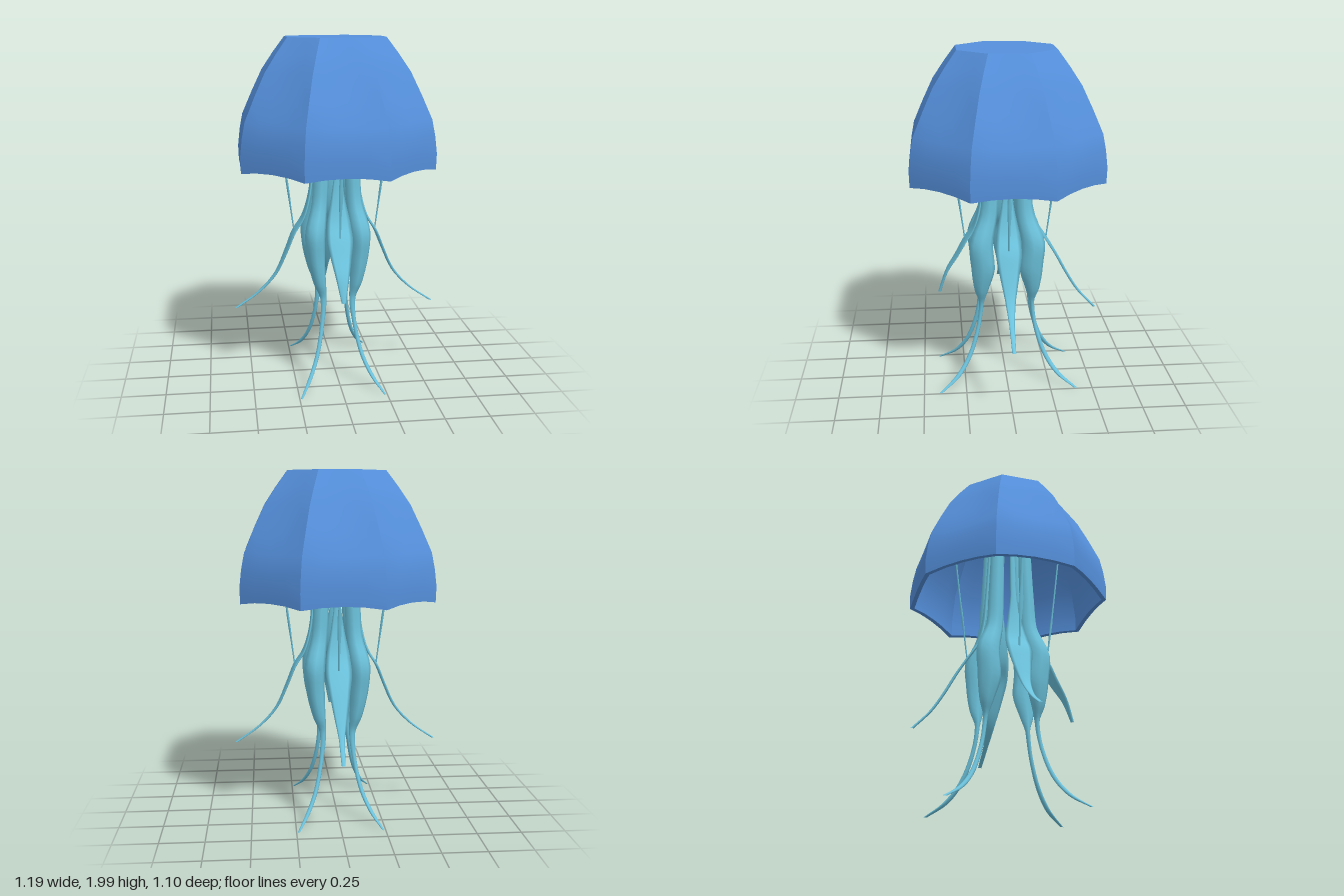
import * as THREE from 'three';
import { mergeVertices } from 'three/addons/utils/BufferGeometryUtils.js';

// Smooth grid surface from a rule point(u, v), with u, v in 0..1
function surface(cols, rows, point) {
  const pos = [], index = [];
  for (let j = 0; j <= rows; j++)
    for (let i = 0; i <= cols; i++) pos.push(...point(i / cols, j / rows));
  for (let j = 0; j < rows; j++)
    for (let i = 0; i < cols; i++) {
      const a = j * (cols + 1) + i, b = a + cols + 1;
      index.push(a, a + 1, b, a + 1, b + 1, b);
    }
  let g = new THREE.BufferGeometry();
  g.setAttribute('position', new THREE.Float32BufferAttribute(pos, 3));
  g.setIndex(index);
  g = mergeVertices(g, 1e-5);
  g.computeVertexNormals();
  return g;
}

// Tentacle lofted through stations [x, y, z, radiusX, radiusZ], top to tip
function loft(stations, sides = 8, steps = 28) {
  const path = new THREE.CatmullRomCurve3(stations.map(s => new THREE.Vector3(s[0], s[1], s[2])));
  const size = new THREE.CatmullRomCurve3(stations.map(s => new THREE.Vector3(s[3], s[4], 0)));
  return surface(sides, steps, (u, v) => {
    const c = path.getPoint(v), r = size.getPoint(v), a = (u % 1) * Math.PI * 2;
    return [c.x + Math.max(r.x, 0.001) * Math.cos(a), c.y, c.z + Math.max(r.y, 0.001) * Math.sin(a)];
  });
}

export function createModel() {
  const model = new THREE.Group();
  const bellBlue = new THREE.MeshStandardMaterial({ color: 0x5590dc });
  const armTeal = new THREE.MeshStandardMaterial({ color: 0x6cc3dd });
  const add = (name, geometry, material, parent = model) => {
    const m = new THREE.Mesh(geometry, material);
    m.name = name;
    parent.add(m);
    return m;
  };

  // Bell: eight panels, each with outer skin, rim and inner skin
  const bell = new THREE.Group();
  bell.name = 'bell';
  model.add(bell);
  const T = Math.tan(Math.PI / 8);
  // rows of [apothem, y, sag at panel middle, rise at panel middle]
  const outer = [[0.275, 2, 0, 0], [0.34, 1.91, 0.006, 0], [0.405, 1.81, 0.012, 0], [0.465, 1.68, 0.014, 0],
    [0.52, 1.55, 0.002, 0], [0.537, 1.46, 0, 0], [0.548, 1.36, 0, 0.02], [0.545, 1.27, 0, 0.02]];
  const rim = [outer[7], [0.52, 1.272, 0, 0.02]];
  const inner = [rim[1], [0.522, 1.36, 0, 0.02], [0.495, 1.55, 0, 0], [0.38, 1.8, 0, 0], [0.255, 1.975, 0, 0]];
  const panel = (rows, angle) => surface(4, rows.length - 1, (u, v) => {
    const [a, y, sag, rise] = rows[Math.round(v * (rows.length - 1))];
    const s = u * 2 - 1, mid = 1 - s * s;
    const d = a - sag * mid, w = s * a * T;
    return [d * Math.cos(angle) - w * Math.sin(angle), y + rise * mid, d * Math.sin(angle) + w * Math.cos(angle)];
  });
  for (let k = 0; k < 8; k++) {
    const angle = k * Math.PI / 4;
    add('bellPanel', panel(outer, angle), bellBlue, bell);
    add('bellRim', panel(rim, angle), bellBlue, bell);
    add('bellLining', panel(inner, angle), bellBlue, bell);
  }
  const cosP = Math.cos(Math.PI / 8);
  add('bellTop', new THREE.CircleGeometry(0.275 / cosP, 8, Math.PI / 8).rotateX(-Math.PI / 2), bellBlue, bell)
    .position.y = 2;
  add('bellCeiling', new THREE.CircleGeometry(0.255 / cosP, 8, Math.PI / 8).rotateX(Math.PI / 2), bellBlue, bell)
    .position.y = 1.975;

  // Four thick arms on the diagonals, each ending in a long thin tail
  for (const sx of [-1, 1])
    for (const sz of [-1, 1])
      add('thickArm', loft([
        [0.08, 1.97, 0.08, 0.03, 0.03], [0.085, 1.6, 0.085, 0.04, 0.04], [0.09, 1.27, 0.095, 0.045, 0.045],
        [0.1, 1.07, 0.105, 0.045, 0.05], [0.13, 0.9, 0.15, 0.058, 0.068], [0.125, 0.74, 0.14, 0.052, 0.068],
        [0.105, 0.6, 0.15, 0.036, 0.04], [0.085, 0.51, 0.15, 0.018, 0.014], [0.095, 0.36, 0.17, 0.012, 0.012],
        [0.13, 0.19, 0.225, 0.012, 0.014], [0.18, 0.08, 0.3, 0.012, 0.016], [0.237, 0.008, 0.4, 0.006, 0.01],
      ].map(([x, y, z, rx, rz]) => [x * sx, y, z * sz, rx, rz]), 8, 44), armTeal);

  // Leaf arms on the axes: a shared blade, then a tail of [reach, y, halfWidth]
  const blade = [[0.09, 1.97, 0.012], [0.11, 1.6, 0.015], [0.13, 1.27, 0.018], [0.148, 1.1, 0.04],
    [0.185, 0.97, 0.066], [0.24, 0.88, 0.074]];
  const sideTail = [[0.285, 0.77, 0.058], [0.35, 0.63, 0.03], [0.45, 0.52, 0.015], [0.585, 0.425, 0.011]];
  const frontTail = [[0.29, 0.79, 0.06], [0.35, 0.69, 0.038], [0.395, 0.56, 0.012]];
  const backTail = [[0.3, 0.78, 0.06], [0.37, 0.65, 0.036], [0.44, 0.54, 0.016], [0.54, 0.43, 0.011]];
  const leafArms = [['leftLeafArm', 0, sideTail], ['backLeafArm', 1, backTail],
    ['rightLeafArm', 2, sideTail], ['frontLeafArm', 3, frontTail]];
  for (const [name, turn, tail] of leafArms) {
    const stations = [...blade, ...tail].map(([r, y, w]) => [r, y, 0, 0.009, w]);
    add(name, loft(stations, 8, 36), armTeal).rotation.y = turn * Math.PI / 2;

    // Fine strand hanging from the bell to the bend of the leaf arm
    add('strand', loft([[0.33, 1.6, 0, 0.005, 0.008], [0.29, 1.27, 0, 0.005, 0.008],
      [0.265, 1.08, 0, 0.005, 0.008], [0.24, 0.89, 0, 0.004, 0.005]], 6, 8), armTeal)
      .rotation.y = turn * Math.PI / 2;
  }
  return model;
}
